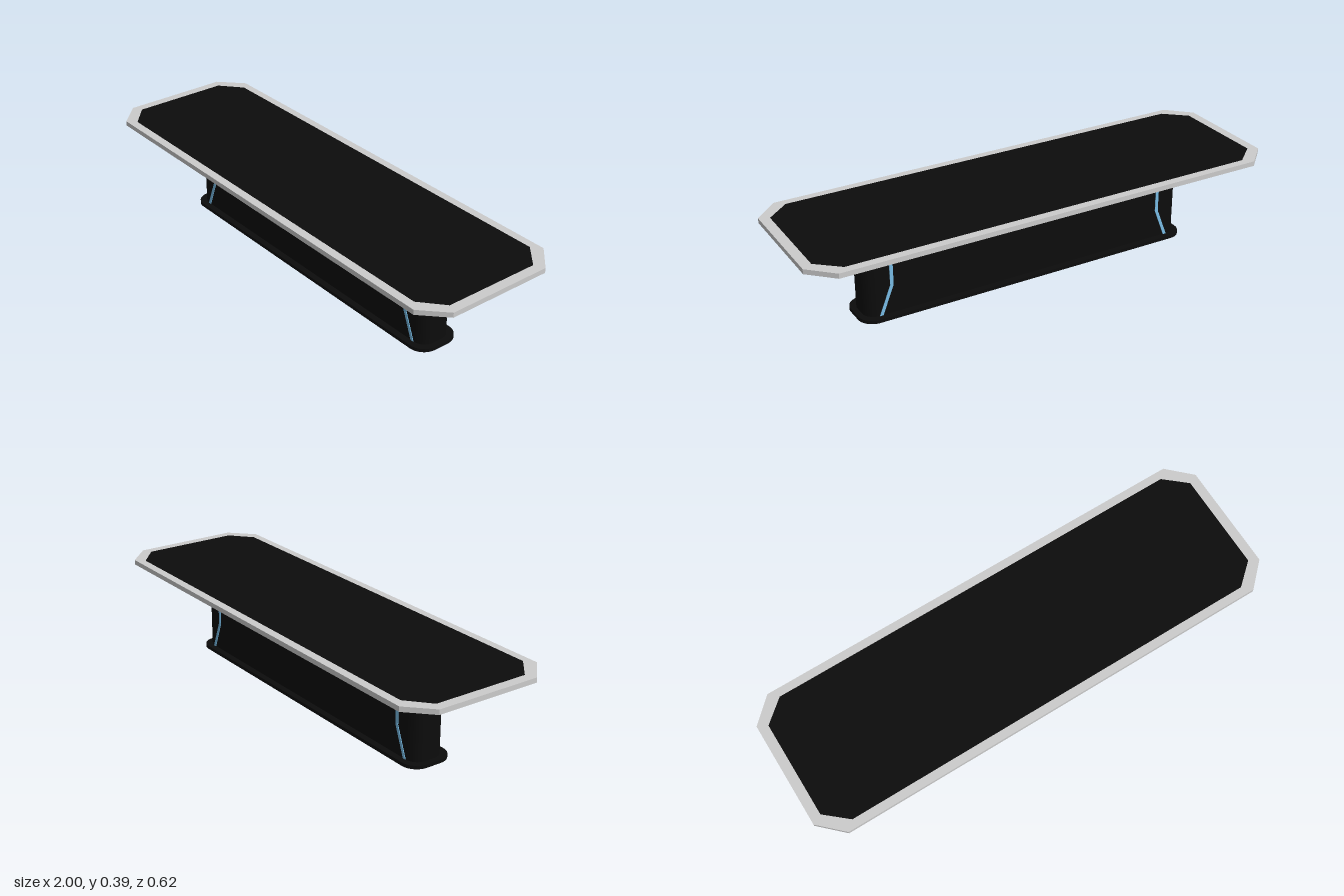
import * as THREE from 'three';
import { toCreasedNormals } from 'three/addons/utils/BufferGeometryUtils.js';

const grey = new THREE.MeshStandardMaterial({ color: 0xcccccc });
const black = new THREE.MeshStandardMaterial({ color: 0x0c0c0c });
const blue = new THREE.MeshStandardMaterial({ color: 0x78bce6 });

// Rectangle with chamfered corners, half sizes x and z, cuts cx and cz
function chamferedShape(x, z, cx, cz) {
  return new THREE.Shape([
    [x, cz - z], [x, z - cz], [x - cx, z], [cx - x, z],
    [-x, z - cz], [-x, cz - z], [cx - x, -z], [x - cx, -z],
  ].map(([a, b]) => new THREE.Vector2(a, b)));
}

// Rectangle with rounded corners
function roundedShape(x, z, r) {
  const s = new THREE.Shape();
  s.absarc(x - r, z - r, r, 0, Math.PI / 2);
  s.absarc(r - x, z - r, r, Math.PI / 2, Math.PI);
  s.absarc(r - x, r - z, r, Math.PI, Math.PI * 1.5);
  s.absarc(x - r, r - z, r, Math.PI * 1.5, Math.PI * 2);
  return s;
}

// Horizontal slab: extrude a plan shape upwards from y0 to y1
function slab(name, shape, y0, y1, material) {
  const geometry = new THREE.ExtrudeGeometry(shape, {
    depth: y1 - y0, bevelEnabled: false, curveSegments: 10,
  });
  geometry.rotateX(-Math.PI / 2).translate(0, y0, 0);
  const mesh = new THREE.Mesh(toCreasedNormals(geometry, 0.5), material);
  mesh.name = name;
  return mesh;
}

// Bent light strip standing just proud of the pedestal face
function lightStrip(side, face) {
  const path = [[0.654, 0.014], [0.606, 0.135], [0.606, 0.258], [0.654, 0.367]];
  const w = 0.007;
  const outline = [
    ...path.map(([x, y]) => new THREE.Vector2(side * (x + w), y)),
    ...path.reverse().map(([x, y]) => new THREE.Vector2(side * (x - w), y)),
  ];
  const geometry = new THREE.ExtrudeGeometry(new THREE.Shape(outline), {
    depth: 0.004, bevelEnabled: false,
  });
  geometry.translate(0, 0, face * 0.0725 - 0.002);
  const mesh = new THREE.Mesh(geometry, blue);
  mesh.name = `${face > 0 ? 'front' : 'back'}${side > 0 ? 'Left' : 'Right'}LightStrip`;
  return mesh;
}

export function createModel() {
  const model = new THREE.Group();
  model.name = 'table';

  // Foot plate and pedestal
  model.add(slab('footPlate', roundedShape(0.735, 0.098, 0.065), 0, 0.014, black));
  model.add(slab('pedestal', roundedShape(0.712, 0.072, 0.05), 0.014, 0.367, black));

  // Table top with dark inlay
  model.add(slab('tableTop', chamferedShape(1, 0.312, 0.095, 0.092), 0.367, 0.387, grey));
  model.add(slab('topInlay', chamferedShape(0.96, 0.278, 0.09, 0.078), 0.38, 0.388, black));

  // Light strips on both long faces
  for (const face of [1, -1]) {
    for (const side of [1, -1]) model.add(lightStrip(side, face));
  }
  return model;
}
